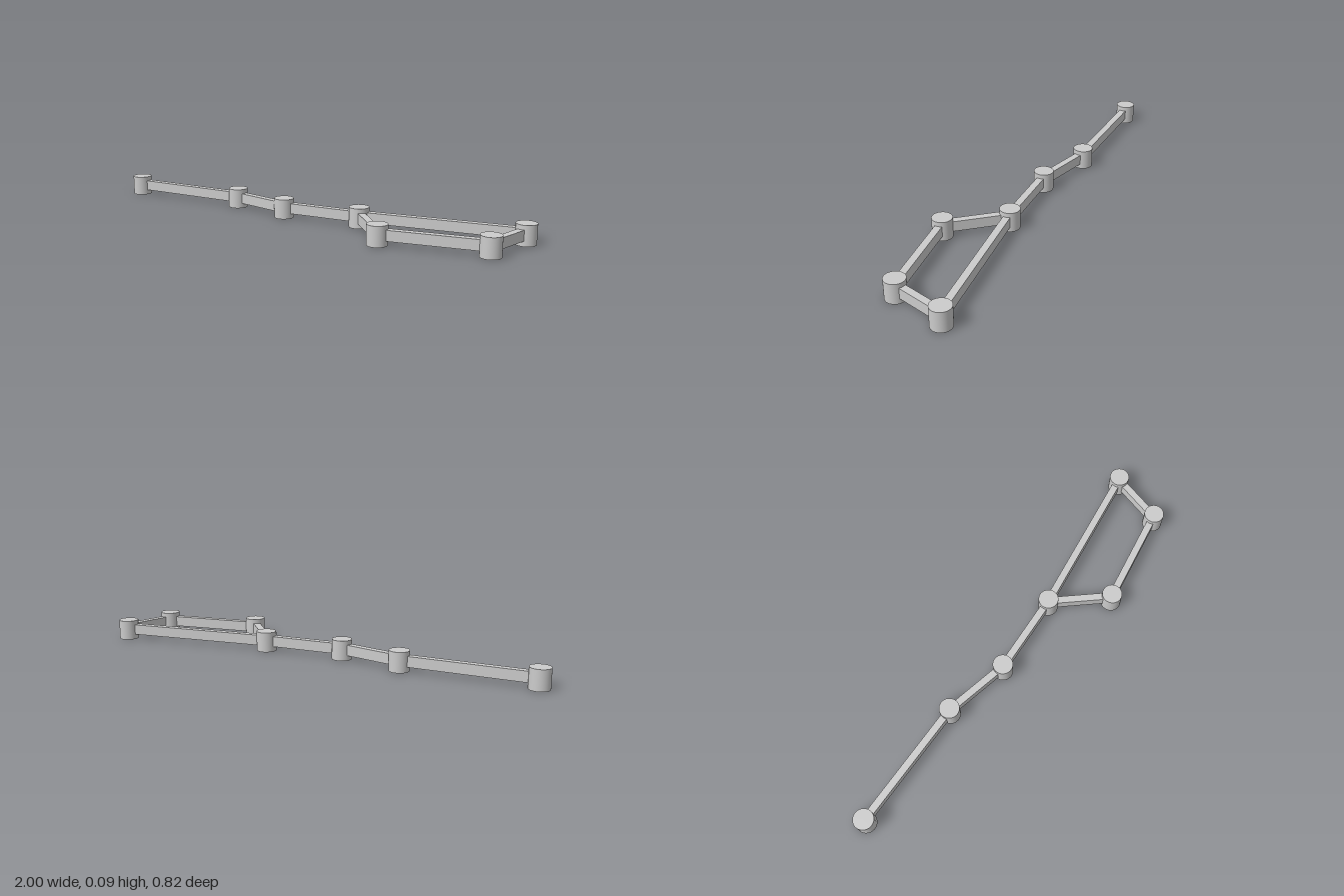
import * as THREE from 'three';

export function createModel() {
  const model = new THREE.Group();
  const material = new THREE.MeshStandardMaterial({ color: 0xcccccc });
  const radius = 0.045, height = 0.09;
  const barWidth = 0.032, barHeight = 0.047;

  // Joint positions (x, z): three along the handle, four round the bowl
  const joints = [
    [-0.955, -0.364], [-0.39, -0.201], [-0.123, -0.051],
    [0.241, 0.037], [0.362, 0.302], [0.82, 0.364], [0.955, 0.151],
  ];
  const links = [[0, 1], [1, 2], [2, 3], [3, 4], [4, 5], [5, 6], [6, 3]];

  // Upright round posts
  const postGeometry = new THREE.CylinderGeometry(radius, radius, height, 48);
  joints.forEach(([x, z], i) => {
    const post = new THREE.Mesh(postGeometry, material);
    post.name = `post${i + 1}`;
    post.position.set(x, height / 2, z);
    model.add(post);
  });

  // Square-edged bars joining the posts from centre to centre
  links.forEach(([a, b], i) => {
    const [x1, z1] = joints[a], [x2, z2] = joints[b];
    const length = Math.hypot(x2 - x1, z2 - z1);
    const bar = new THREE.Mesh(new THREE.BoxGeometry(length, barHeight, barWidth), material);
    bar.name = `connectingBar${i + 1}`;
    bar.position.set((x1 + x2) / 2, 0.0465, (z1 + z2) / 2);
    bar.rotation.y = -Math.atan2(z2 - z1, x2 - x1);
    model.add(bar);
  });

  return model;
}
